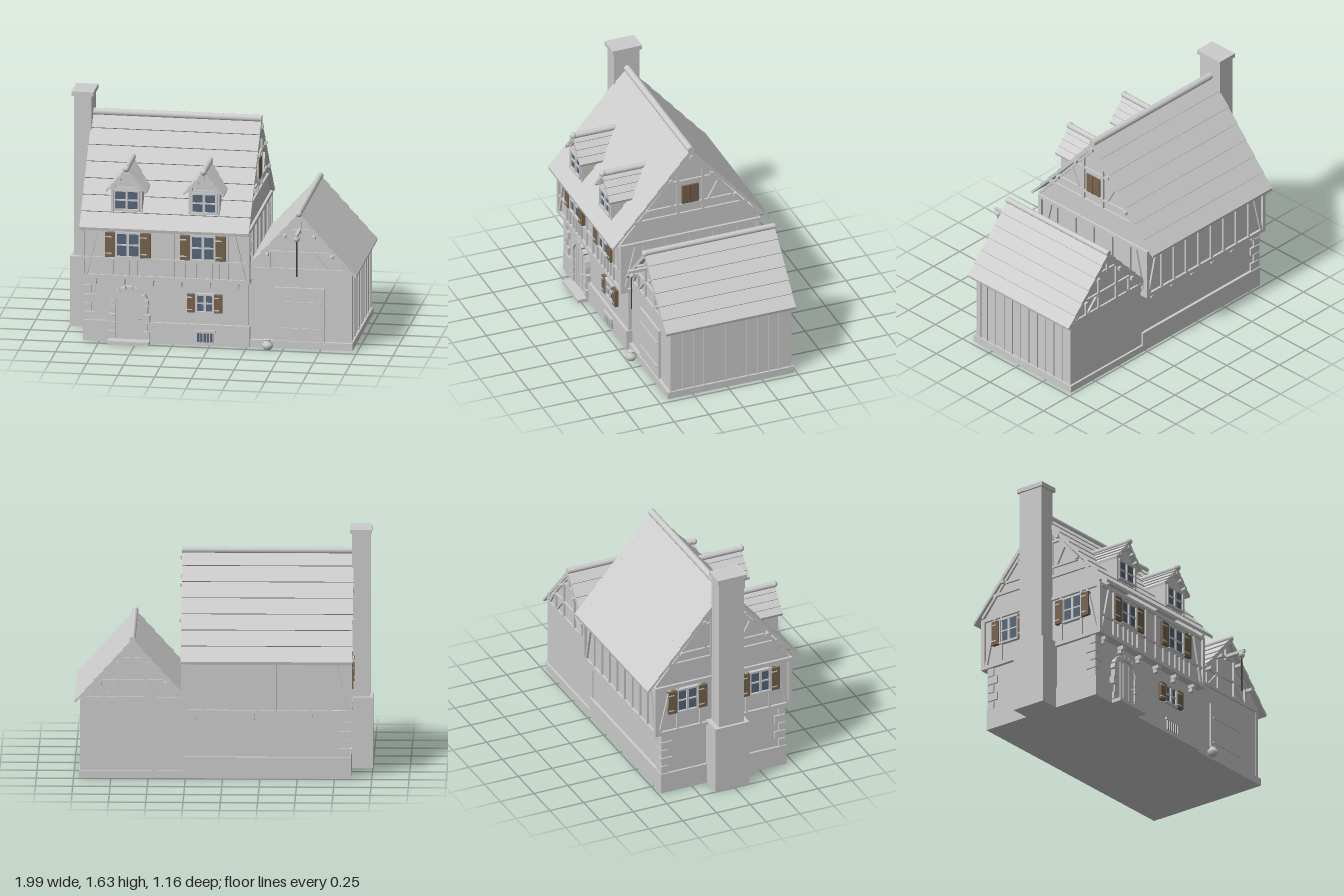
import * as THREE from 'three';

const mat = (name, color) => Object.assign(new THREE.MeshStandardMaterial({ color }), { name });
const grey = mat('pale grey', 0xcccccc);
const brown = mat('shutter brown', 0x77644e);
const glass = mat('window blue', 0x55677a);
const dark = mat('rope brown', 0x4a3828);
const CZ = -0.015; // centre line of the main house

function add(parent, name, geo, material = grey) {
  const m = new THREE.Mesh(geo, material);
  m.name = name;
  parent.add(m);
  return m;
}
function box(parent, name, x0, x1, y0, y1, z0, z1, material) {
  const m = add(parent, name, new THREE.BoxGeometry(x1 - x0, y1 - y0, z1 - z0), material);
  m.position.set((x0 + x1) / 2, (y0 + y1) / 2, (z0 + z1) / 2);
  return m;
}
// straight timber lying on a facade (local xy plane, facing +z)
function strut(parent, name, x0, y0, x1, y1, w = 0.02, d = 0.014) {
  const m = add(parent, name, new THREE.BoxGeometry(Math.hypot(x1 - x0, y1 - y0), w, d + 0.006));
  m.position.set((x0 + x1) / 2, (y0 + y1) / 2, d / 2 - 0.003);
  m.rotation.z = Math.atan2(y1 - y0, x1 - x0);
  return m;
}
function group(parent, name, x = 0, y = 0, z = 0, ry = 0) {
  const g = new THREE.Group();
  g.name = name;
  g.position.set(x, y, z);
  g.rotation.y = ry;
  parent.add(g);
  return g;
}
function extrude(points, depth) {
  const shape = new THREE.Shape(points.map(p => new THREE.Vector2(...p)));
  return new THREE.ExtrudeGeometry(shape, { depth, bevelEnabled: false });
}
// gable roof of overlapping courses, ridge running along local z
function roof(parent, name, half, top, eave, courses, length, thick = 0.03, ridgeR = 0.022) {
  const outer = [], step = 0.006;
  for (let i = 0; i < courses; i++) {
    const at = t => [half * t, top + (eave - top) * t];
    const a = at(i / courses), b = at((i + 1) / courses);
    outer.push([a[0], a[1]], [b[0] + step * 0.7, b[1] + step]);
  }
  outer.push([half, eave - thick * 0.5]);
  const mirror = outer.slice(1).reverse().map(([x, y]) => [-x, y]);
  add(parent, name, extrude([...outer, [0, top - thick * 1.4], ...mirror], length));
  const cap = add(parent, name + 'Ridge', new THREE.CylinderGeometry(ridgeR, ridgeR, length + 0.004, 20));
  cap.rotation.x = Math.PI / 2;
  cap.position.set(0, top, length / 2);
}
// casement window with optional pair of shutters
function windowUnit(parent, cx, y0, y1, w, shutter = 0) {
  const g = group(parent, 'window', cx, 0, 0), h = w / 2, f = 0.012, ym = y0 + (y1 - y0) * 0.5;
  box(g, 'glass', -h, h, y0, y1, 0, 0.009, glass);
  for (const s of [-1, 1]) {
    box(g, 'jamb', s * h - f / 2, s * h + f / 2, y0, y1, 0, 0.022);
    if (!shutter) continue;
    const a = s * (h + 0.006), b = s * (h + 0.006 + shutter);
    box(g, 'shutter', Math.min(a, b), Math.max(a, b), y0, y1, 0, 0.026, brown);
    for (const t of [0.16, 0.84]) {
      const y = y0 + (y1 - y0) * t;
      box(g, 'shutterHinge', Math.min(a, b), Math.min(a, b) + shutter * 0.65, y - 0.004, y + 0.004, 0.02, 0.029);
    }
  }
  box(g, 'mullion', -0.008, 0.008, y0, y1, 0, 0.02);
  box(g, 'transom', -h, h, ym - 0.005, ym + 0.005, 0, 0.018);
  for (const y of [y0, y1]) box(g, 'sill', -h - 0.006, h + 0.006, y - 0.007, y + 0.007, 0, 0.025);
}

// half-timbered upper storey facade, u from -h to h
function timberStorey(f, h, studs, shortStuds = []) {
  strut(f, 'sillBeam', -h, 0.463, h, 0.463, 0.026, 0.017);
  strut(f, 'topPlate', -h, 0.81, h, 0.81, 0.024, 0.017);
  for (const s of [-1, 1]) {
    strut(f, 'cornerPost', s * (h - 0.01), 0.45, s * (h - 0.01), 0.82, 0.024, 0.017);
    strut(f, 'brace', s * (h - 0.03), 0.47, s * (h - 0.11), 0.81, 0.018);
  }
  for (const u of studs) strut(f, 'stud', u, 0.46, u, 0.82, 0.017);
  for (const u of shortStuds) strut(f, 'lowStud', u, 0.46, u, 0.59, 0.015);
}

function gableFrame(f, side) {
  add(f, 'gableWall', extrude([[-0.51, 0.8], [0.51, 0.8], [0, 1.425]], 0.03)).position.z = -0.03;
  strut(f, 'gableBeam', -0.41, 0.975, 0.41, 0.975);
  strut(f, 'gableBeam', -0.32, 1.045, 0.32, 1.045, 0.016);
  strut(f, 'gableBeam', -0.165, 1.23, 0.165, 1.23, 0.014);
  for (const s of [-1, 1]) {
    strut(f, 'gableStud', s * 0.09, 0.97, s * 0.09, 1.31, 0.016);
    strut(f, 'rafter', s * 0.5, 0.835, 0, 1.412, 0.018);
    strut(f, 'gableBrace', s * 0.13, 1.05, s * 0.2, 1.18, 0.014);
    strut(f, 'gableBrace', s * 0.32, 1.05, s * 0.37, 0.975, 0.014);
    for (const [u, y] of [[0.148, 1.255], [0.315, 1.05]])
      box(f, 'purlinEnd', s * u - 0.011, s * u + 0.011, y - 0.011, y + 0.011, -0.01, 0.033);
  }
  box(f, 'ridgePurlinEnd', -0.011, 0.011, 1.4, 1.425, -0.01, 0.033);
  if (side > 0) {
    box(f, 'atticHatch', -0.06, 0.06, 1.05, 1.19, 0, 0.012, brown);
    box(f, 'hatchSeam', -0.0015, 0.0015, 1.05, 1.19, 0.01, 0.014, dark);
  }
}

function mainHouse(root) {
  const g = group(root, 'mainHouse');
  box(g, 'plinth', -0.86, 0.27, 0, 0.145, -0.48, 0.45);
  box(g, 'groundFloor', -0.845, 0.26, 0.1, 0.46, -0.46, 0.43);
  box(g, 'upperFloor', -0.85, 0.26, 0.45, 0.83, -0.505, 0.475);

  // timber facades
  const front = group(g, 'frontTimbers', -0.295, 0, 0.475);
  timberStorey(front, 0.57, [-0.41, -0.06, 0.05, 0.42], [-0.36, -0.3, -0.25, -0.2, -0.15, 0.13, 0.2, 0.26, 0.31, 0.36]);
  strut(front, 'rail', -0.56, 0.592, 0.56, 0.592, 0.015);
  for (const x of [-0.255, 0.255]) windowUnit(front, x, 0.605, 0.775, 0.16, 0.068);
  const back = group(g, 'backTimbers', -0.295, 0, -0.505, Math.PI);
  timberStorey(back, 0.57, [-0.42, -0.3, -0.18, -0.06, 0.06, 0.18, 0.3, 0.42]);
  for (const side of [-1, 1]) {
    const f = group(g, 'gableEnd', side > 0 ? 0.26 : -0.85, 0, CZ, side * Math.PI / 2);
    timberStorey(f, 0.5, [-0.34, -0.17, 0, 0.17, 0.34]);
    gableFrame(f, side);
    if (side < 0) for (const u of [-0.27, 0.27]) windowUnit(f, u, 0.605, 0.775, 0.15, 0.06);
  }
  // joist ends carrying the overhang
  for (let i = 0; i < 6; i++) {
    const x = -0.78 + i * 0.193;
    for (const s of [-1, 1]) {
      const c = CZ + s * 0.462;
      box(g, 'joistEnd', x - 0.014, x + 0.014, 0.425, 0.452, c - 0.03, c + 0.03);
      box(g, 'bracket', x - 0.011, x + 0.011, 0.4, 0.43, c - 0.022 - s * 0.008, c + 0.022 - s * 0.008);
    }
  }
  // roof
  const r = group(g, 'mainRoof', -0.87, 0, CZ, Math.PI / 2);
  roof(r, 'roofTiles', 0.565, 1.467, 0.815, 7, 1.15, 0.03, 0.024);

  // corner stones
  for (let i = 0; i < 5; i++) {
    const y = 0.148 + i * 0.061, a = i % 2 ? 0.05 : 0.08, b = i % 2 ? 0.08 : 0.05;
    box(g, 'cornerStone', -0.857, -0.857 + a, y, y + 0.055, 0.445 - b, 0.445);
    box(g, 'cornerStone', -0.857, -0.857 + a, y, y + 0.055, -0.475, -0.475 + b);
  }
  // ground floor window and cellar grille
  windowUnit(group(g, 'groundWindow', 0, 0, 0.43), -0.035, 0.23, 0.355, 0.115, 0.056);
  box(g, 'cellarOpening', -0.09, 0.025, 0.025, 0.095, 0.45, 0.454, glass);
  box(g, 'cellarLintel', -0.105, 0.038, 0.09, 0.108, 0.44, 0.465);
  for (let i = 0; i < 6; i++)
    box(g, 'cellarBar', -0.091 + i * 0.022, -0.085 + i * 0.022, 0.022, 0.095, 0.45, 0.462);
}

function archDoor(root) {
  const g = group(root, 'archDoor', -0.545, 0, 0.43);
  const arch = [[-0.097, 0.02], [0.097, 0.02]];
  for (let i = 0; i <= 16; i++) {
    const a = Math.PI * i / 16;
    arch.push([Math.cos(a) * 0.097, 0.255 + Math.sin(a) * 0.097]);
  }
  add(g, 'doorLeaf', extrude(arch, 0.024));
  for (const x of [-0.055, -0.022, 0.04]) box(g, 'doorBatten', x - 0.005, x + 0.005, 0.03, 0.33, 0, 0.029);
  add(g, 'doorKnob', new THREE.SphereGeometry(0.008, 12, 8)).position.set(0.07, 0.17, 0.03);
  for (const s of [-1, 1]) for (let i = 0; i < 4; i++) {
    const o = i % 2 ? 0.125 : 0.14, a = s * 0.092, b = s * o, y = 0.03 + i * 0.058;
    box(g, 'jambStone', Math.min(a, b), Math.max(a, b), y, y + 0.053, 0, 0.036);
  }
  for (let i = 0; i < 9; i++) {
    const a = Math.PI * (i + 0.5) / 9;
    const m = add(g, 'archStone', new THREE.BoxGeometry(0.036, 0.036, 0.036));
    m.position.set(Math.cos(a) * 0.113, 0.26 + Math.sin(a) * 0.113, 0.018);
    m.rotation.z = a;
  }
  box(g, 'doorStep', -0.14, 0.14, 0, 0.025, 0, 0.095);
}

function dormer(root, x) {
  const g = group(root, 'dormer', x, 0, 0.15);
  add(g, 'dormerWall', extrude([[-0.105, 0.9], [0.105, 0.9], [0.105, 1.085], [0, 1.2], [-0.105, 1.085]], 0.315));
  roof(g, 'dormerRoof', 0.135, 1.222, 1.065, 4, 0.35, 0.022, 0.02);
  add(g, 'finial', new THREE.SphereGeometry(0.023, 20, 14)).position.set(0, 1.225, 0.348);
  const f = group(g, 'dormerFront', 0, 0, 0.315);
  windowUnit(f, 0, 0.932, 1.068, 0.165);
  strut(f, 'dormerBeam', -0.11, 1.08, 0.11, 1.08, 0.016);
  for (const s of [-1, 1]) {
    strut(f, 'dormerPost', s * 0.098, 0.91, s * 0.098, 1.08, 0.014);
    strut(f, 'dormerRafter', s * 0.11, 1.075, 0, 1.19, 0.012);
    for (const [u, y] of [[0.085, 1.1], [0.045, 1.147]])
      box(f, 'dormerPurlin', s * u - 0.009, s * u + 0.009, y - 0.009, y + 0.009, -0.01, 0.038);
  }
  box(f, 'dormerRidgePurlin', -0.009, 0.009, 1.175, 1.195, -0.01, 0.038);
}

function chimney(root) {
  const g = group(root, 'chimney');
  box(g, 'chimneyBase', -1, -0.84, 0, 0.485, -0.14, 0.11);
  box(g, 'chimneyStack', -0.98, -0.86, 0.48, 1.605, -0.105, 0.08);
  box(g, 'chimneyCap', -0.993, -0.845, 1.6, 1.63, -0.118, 0.095);
}

function annex(root) {
  const g = group(root, 'annex'), cx = 0.605;
  box(g, 'annexBase', 0.26, 0.965, 0, 0.05, -0.48, 0.43);
  box(g, 'annexWalls', 0.25, 0.95, 0.03, 0.55, -0.465, 0.405);
  add(g, 'annexGable', extrude([[0.25, 0.53], [0.95, 0.53], [cx, 0.92]], 0.87)).position.z = -0.465;
  roof(group(g, 'annexRoof', cx, 0, -0.485), 'annexTiles', 0.385, 0.95, 0.525, 6, 0.94, 0.026, 0.02);
  for (let i = 0; i < 12; i++) {
    const z = -0.46 + i * 0.0775;
    box(g, 'wallBatten', 0.94, 0.957, 0.05, 0.54, z - 0.006, z + 0.006);
  }
  for (const s of [-1, 1]) {
    const f = group(g, s > 0 ? 'annexFront' : 'annexBack', cx, 0, s > 0 ? 0.405 : -0.465, s > 0 ? 0 : Math.PI);
    strut(f, 'annexTieBeam', -0.33, 0.545, 0.33, 0.545, 0.018);
    strut(f, 'annexRail', -0.22, 0.665, 0.22, 0.665, 0.014);
    strut(f, 'annexKingPost', 0, 0.8, 0, 0.91, 0.018);
    strut(f, 'annexCollar', -0.09, 0.82, 0.09, 0.82, 0.014);
    for (const k of [-1, 1]) {
      strut(f, 'annexRafter', k * 0.335, 0.55, 0, 0.908, 0.02);
      strut(f, 'annexStud', k * 0.085, 0.545, k * 0.085, 0.82, 0.016);
      strut(f, 'annexStud', k * 0.205, 0.545, k * 0.205, 0.67, 0.014);
      strut(f, 'annexBrace', k * 0.1, 0.655, k * 0.19, 0.555, 0.014);
      strut(f, 'annexBrace', k * 0.225, 0.66, k * 0.3, 0.555, 0.014);
      for (const [u, y] of [[0.1, 0.785], [0.22, 0.65]])
        box(f, 'annexPurlin', k * u - 0.011, k * u + 0.011, y - 0.011, y + 0.011, -0.01, s > 0 ? 0.06 : 0.032);
    }
  }
  // barn door
  box(g, 'cornerBoard', 0.93, 0.957, 0.05, 0.54, 0.37, 0.41);
  box(g, 'barnDoor', 0.435, 0.775, 0.05, 0.42, 0.4, 0.42);
  for (const y of [0.135, 0.318]) box(g, 'doorStrap', 0.455, 0.755, y - 0.006, y + 0.006, 0.41, 0.428);
  // hoist
  box(g, 'hoistBeam', cx - 0.01, cx + 0.01, 0.815, 0.837, 0.3, 0.572);
  add(g, 'pulley', new THREE.SphereGeometry(0.021, 18, 12)).position.set(cx, 0.8, 0.547);
  add(g, 'hoistRope', new THREE.CylinderGeometry(0.004, 0.004, 0.26, 8), dark).position.set(cx, 0.665, 0.547);
  add(g, 'ridgeBall', new THREE.SphereGeometry(0.022, 18, 12)).position.set(cx, 0.948, 0.45);
  // clay jar beside the door
  const jar = [[0, 0], [0.024, 0], [0.037, 0.018], [0.036, 0.036], [0.021, 0.053], [0.018, 0.062], [0.024, 0.068], [0, 0.068]];
  add(g, 'jar', new THREE.LatheGeometry(jar.map(p => new THREE.Vector2(...p)), 24)).position.set(0.395, 0, 0.465);
}

export function createModel() {
  const root = new THREE.Group();
  root.name = 'timberHouse';
  mainHouse(root);
  archDoor(root);
  for (const x of [-0.56, -0.035]) dormer(root, x);
  chimney(root);
  annex(root);
  return root;
}
